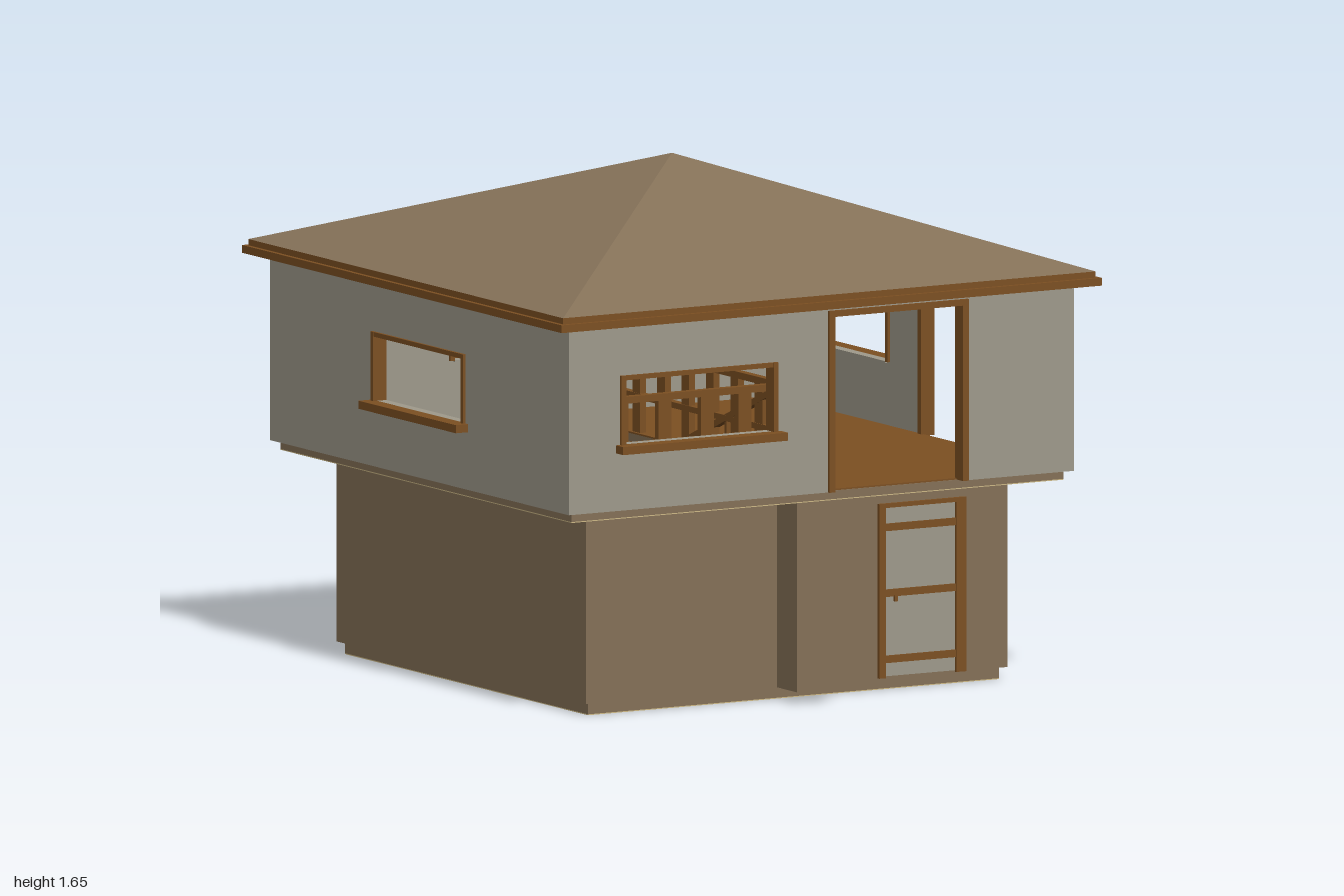
import * as THREE from 'three';

function paint(name, color) {
  const material = new THREE.MeshStandardMaterial({ color });
  material.name = name;
  return material;
}
const brown = paint('earthBrown', 0x857158);
const grey = paint('plasterGrey', 0xa09b8c);
const wood = paint('timber', 0x7d5022);
const sand = paint('sandUnderside', 0xd0bb88);

function add(parent, name, geometry, material) {
  const mesh = new THREE.Mesh(geometry, material);
  mesh.name = name;
  parent.add(mesh);
  return mesh;
}

// Box given by its minimum and maximum corners
function block(parent, name, material, x0, x1, y0, y1, z0, z1) {
  const mesh = add(parent, name, new THREE.BoxGeometry(x1 - x0, y1 - y0, z1 - z0), material);
  mesh.position.set((x0 + x1) / 2, (y0 + y1) / 2, (z0 + z1) / 2);
  return mesh;
}

function rectangle(target, x0, x1, y0, y1) {
  target.moveTo(x0, y0);
  target.lineTo(x1, y0);
  target.lineTo(x1, y1);
  target.lineTo(x0, y1);
  target.closePath();
  return target;
}

// Square horizontal slab with a rectangular hole
function slab(parent, name, material, half, hole, y0, y1) {
  const shape = rectangle(new THREE.Shape(), -half, half, -half, half);
  shape.holes.push(rectangle(new THREE.Path(), hole.x0, hole.x1, -hole.z1, -hole.z0));
  const geometry = new THREE.ExtrudeGeometry(shape, { depth: y1 - y0, bevelEnabled: false });
  geometry.rotateX(-Math.PI / 2);
  geometry.translate(0, y0, 0);
  return add(parent, name, geometry, material);
}

const WALL = 0.935;
const FLOOR = 0.68;
const TOP = 1.28;

// Upper wall facing local +z, with a window and an optional full-height doorway
function upperWall(parent, name, angle, half, win, door) {
  const side = new THREE.Group();
  side.name = name;
  side.rotation.y = angle;
  parent.add(side);

  const shape = new THREE.Shape();
  shape.moveTo(-half, FLOOR);
  if (door) {
    shape.lineTo(door[0], FLOOR);
    shape.lineTo(door[0], 1.26);
    shape.lineTo(door[1], 1.26);
    shape.lineTo(door[1], FLOOR);
  }
  shape.lineTo(half, FLOOR);
  shape.lineTo(half, TOP);
  shape.lineTo(-half, TOP);
  shape.closePath();
  shape.holes.push(rectangle(new THREE.Path(), win[0], win[1], 0.89, 1.11));
  const geometry = new THREE.ExtrudeGeometry(shape, { depth: 0.03, bevelEnabled: false });
  geometry.translate(0, 0, WALL - 0.03);
  add(side, 'upperWallPanel', geometry, grey);

  // Window frame and projecting sill
  const [a, b] = win;
  block(side, 'windowJamb', wood, a - 0.005, a + 0.012, 0.89, 1.115, 0.895, 0.945);
  block(side, 'windowJamb', wood, b - 0.012, b + 0.005, 0.89, 1.115, 0.895, 0.945);
  block(side, 'windowHead', wood, a, b, 1.1, 1.115, 0.895, 0.944);
  block(side, 'windowSill', wood, a - 0.02, b + 0.02, 0.866, 0.892, 0.93, 0.98);
  block(side, 'innerSill', grey, a + 0.012, b - 0.012, 0.885, 0.892, 0.895, 0.93);

  // Doorway frame
  if (door) {
    const [c, d] = door;
    block(side, 'doorwayPost', wood, c - 0.016, c + 0.006, FLOOR, 1.265, 0.895, 0.945);
    block(side, 'doorwayPost', wood, d - 0.006, d + 0.016, FLOOR, 1.265, 0.895, 0.945);
    block(side, 'doorwayHead', wood, c, d, 1.245, 1.265, 0.895, 0.944);
  }
}

function createLowerFloor(model) {
  block(model, 'foundation', brown, -0.76, 0.76, 0.003, 0.04, -0.76, 0.76);
  block(model, 'foundationUnderside', sand, -0.76, 0.76, 0, 0.003, -0.76, 0.76);
  slab(model, 'lowerWalls', brown, 0.78, { x0: -0.74, x1: 0.74, z0: -0.74, z1: 0.74 }, 0.04, 0.65);
  block(model, 'frontPillar', brown, -0.073, 0.073, 0.04, 0.65, 0.78, 0.905);
  block(model, 'sidePillar', brown, 0.78, 0.905, 0.04, 0.65, -0.073, 0.073);

  // Entrance door
  const door = new THREE.Group();
  door.name = 'entranceDoor';
  model.add(door);
  block(door, 'doorPanel', grey, 0.32, 0.6, 0.045, 0.59, 0.775, 0.783);
  block(door, 'doorJamb', wood, 0.3, 0.325, 0.04, 0.6, 0.77, 0.79);
  block(door, 'doorJamb', wood, 0.585, 0.622, 0.04, 0.6, 0.77, 0.79);
  block(door, 'doorHead', wood, 0.3, 0.622, 0.588, 0.602, 0.77, 0.79);
  for (const y of [0.1, 0.313, 0.525]) {
    block(door, 'doorRail', wood, 0.325, 0.587, y - 0.012, y + 0.012, 0.78, 0.788);
  }
  block(door, 'doorHandle', wood, 0.357, 0.367, 0.285, 0.305, 0.78, 0.792);

  // Small four-pane window at the back
  const win = new THREE.Group();
  win.name = 'smallBackWindow';
  model.add(win);
  block(win, 'panes', grey, -0.12, 0.12, 0.28, 0.475, -0.784, -0.776);
  for (const x of [-0.118, 0, 0.118]) {
    block(win, 'windowUpright', wood, x - 0.009, x + 0.009, 0.28, 0.48, -0.792, -0.77);
  }
  for (const y of [0.38, 0.472]) {
    block(win, 'windowBar', wood, -0.12, 0.12, y - 0.008, y + 0.008, -0.791, -0.77);
  }
  block(win, 'smallSill', wood, -0.15, 0.15, 0.258, 0.282, -0.83, -0.77);
}

function createInterior(model) {
  const hole = { x0: -0.68, x1: 0.13, z0: -0.66, z1: 0.42 };
  slab(model, 'overhangSlab', brown, 0.91, hole, 0.653, 0.68);
  slab(model, 'overhangUnderside', sand, 0.91, { x0: -0.77, x1: 0.77, z0: -0.77, z1: 0.77 }, 0.65, 0.653);
  slab(model, 'floorBoards', wood, 0.905, hole, 0.68, 0.685);

  // Stairs descending towards the back
  const steps = 8;
  const run = (hole.z1 - hole.z0) / steps;
  for (let i = 0; i < steps; i++) {
    const y = 0.63 - i * 0.053;
    const z = hole.z1 - i * run;
    block(model, 'stairStep', wood, hole.x0, hole.x1, y - 0.06, y, z - run, z);
  }

  // Railings along the side, front and back corner of the stairwell
  block(model, 'cornerPost', wood, 0.138, 0.164, 0.68, 0.95, 0.434, 0.46);
  for (const z of [0.305, 0.153, 0, -0.153, -0.305, -0.46, -0.62]) {
    block(model, 'sidePost', wood, 0.14, 0.162, 0.68, 0.95, z - 0.024, z + 0.024);
  }
  for (const x of [-0.625, -0.455, -0.297, -0.14, 0]) {
    block(model, 'frontPost', wood, x - 0.024, x + 0.024, 0.68, 0.95, 0.436, 0.458);
  }
  for (const x of [-0.1, 0.03]) {
    block(model, 'backPost', wood, x - 0.024, x + 0.024, 0.68, 0.95, -0.715, -0.693);
  }
  for (const [y0, y1] of [[0.94, 0.962], [0.793, 0.812]]) {
    block(model, 'sideRail', wood, 0.138, 0.164, y0, y1, -0.72, 0.46);
    block(model, 'frontRail', wood, -0.71, 0.138, y0, y1, 0.434, 0.46);
    block(model, 'backRail', wood, -0.125, 0.138, y0, y1, -0.72, -0.69);
  }

  // Sloping handrail with thin balusters
  const handrail = block(model, 'stairHandrail', wood, 0.139, 0.163, 0.66, 0.68, -0.35, 0.35);
  handrail.position.set(0.151, 0.816, 0.125);
  handrail.rotation.x = -Math.atan(0.42);
  for (const [z, y] of [[0.215, 0.84], [0.09, 0.79]]) {
    block(model, 'baluster', wood, 0.145, 0.157, 0.68, y, z - 0.007, z + 0.007);
  }
}

export function createModel() {
  const model = new THREE.Group();
  model.name = 'watchHouse';
  createLowerFloor(model);
  createInterior(model);

  // Upper storey
  upperWall(model, 'frontWall', 0, WALL, [-0.74, -0.17], [0.04, 0.524]);
  upperWall(model, 'leftWall', Math.PI / 2, WALL - 0.03, [0.17, 0.74], [-0.524, -0.04]);
  upperWall(model, 'backWall', Math.PI, WALL, [-0.285, 0.285]);
  upperWall(model, 'rightWall', -Math.PI / 2, WALL - 0.03, [-0.285, 0.285]);

  // Ceiling, eaves boards and pyramid roof
  block(model, 'ceiling', brown, -0.905, 0.905, 1.275, TOP, -0.905, 0.905);
  block(model, 'eavesBoard', wood, -1, 1, TOP, 1.305, -1, 1);
  block(model, 'upperEavesBoard', wood, -0.985, 0.985, 1.305, 1.325, -0.985, 0.985);
  const cone = new THREE.ConeGeometry(0.985 * Math.SQRT2, 0.33, 4, 1);
  cone.rotateY(Math.PI / 4);
  const roof = cone.toNonIndexed();
  roof.computeVertexNormals();
  add(model, 'roof', roof, brown).position.y = 1.325 + 0.165;

  return model;
}
